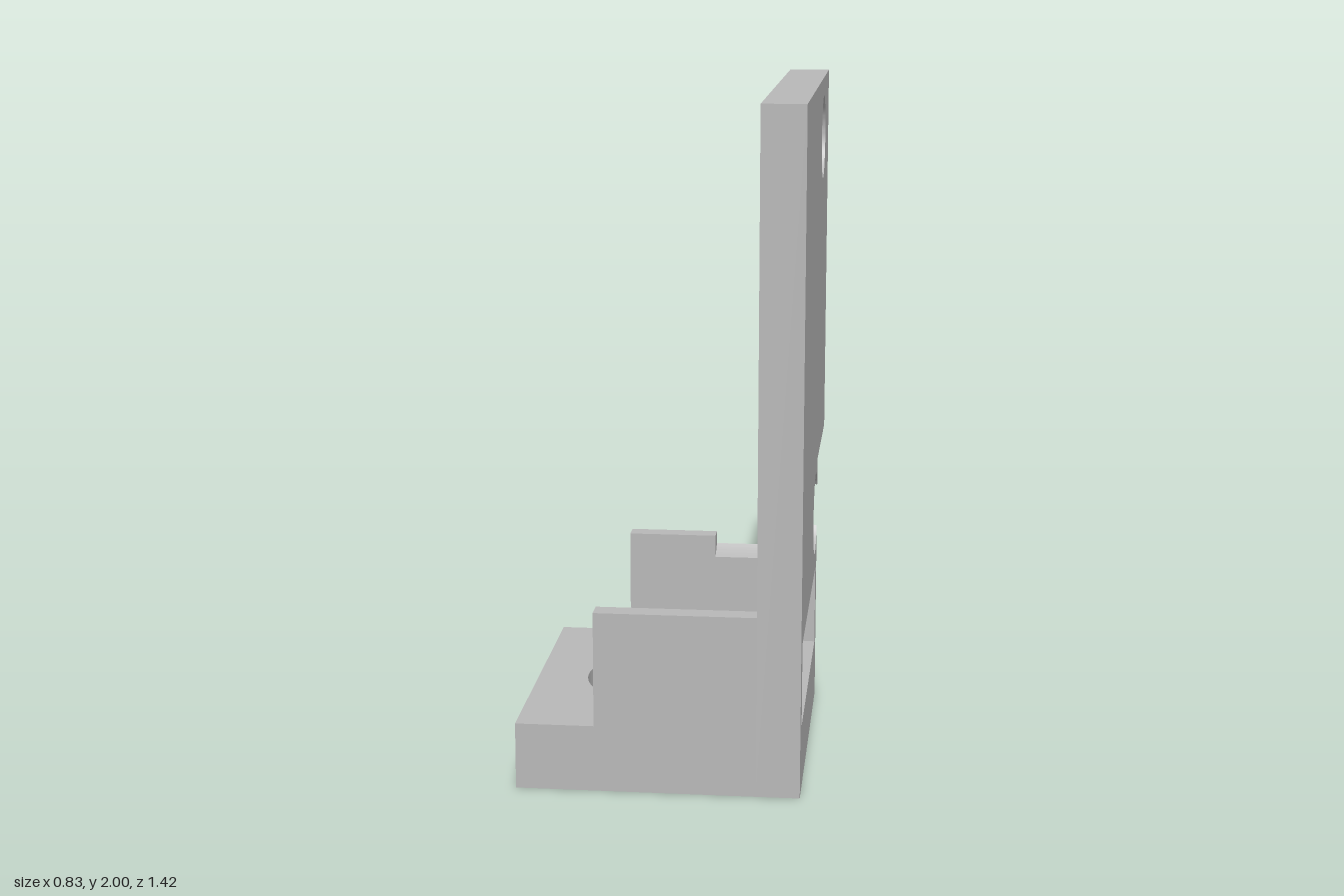
import * as THREE from 'three';
import { toCreasedNormals } from 'three/addons/utils/BufferGeometryUtils.js';

const grey = new THREE.MeshStandardMaterial({ color: 0xb8b8b8 });
grey.name = 'grey';

// Main x positions, shared by the parts
const baseLeft = -0.418, wallStart = -0.187, plateInner = 0.286, plateOuter = 0.414;
const back = -0.211, front = 0.712;

function extrude(shape, depth) {
  return new THREE.ExtrudeGeometry(shape, { depth, bevelEnabled: false, curveSegments: 48 });
}

// Side profile drawn as (-z, y), extruded along x from x0 to x1
function sideProfile(shape, x0, x1) {
  return toCreasedNormals(extrude(shape, x1 - x0).rotateY(Math.PI / 2).translate(x0, 0, 0), 0.5);
}

function polygon(points) {
  return new THREE.Shape(points.map(([x, y]) => new THREE.Vector2(x, y)));
}

function circle(x, y, r) {
  return new THREE.Path().absarc(x, y, r, 0, Math.PI * 2, true);
}

function box(x0, x1, y0, y1, z0, z1) {
  return new THREE.BoxGeometry(x1 - x0, y1 - y0, z1 - z0)
    .translate((x0 + x1) / 2, (y0 + y1) / 2, (z0 + z1) / 2);
}

export function createModel() {
  const group = new THREE.Group();
  group.name = 'bracket';
  const add = (name, geometry) => {
    const mesh = new THREE.Mesh(geometry, grey);
    mesh.name = name;
    group.add(mesh);
  };

  // Centre of the edge hole, which breaks through the back edge
  const hu = 0.1, hy = 0.639, r = 0.13;
  const edge = -back;
  const open = Math.acos((edge - hu) / r);

  // Tall plate with a window, a round hole and the open edge hole
  const plate = new THREE.Shape();
  plate.moveTo(-front, 0);
  plate.lineTo(edge, 0);
  plate.lineTo(edge, hy - r * Math.sin(open));
  plate.absarc(hu, hy, r, -open, open, true);
  plate.lineTo(edge, 0.793);
  plate.lineTo(front, 0.793);
  plate.lineTo(front, 2);
  plate.lineTo(-front, 2);
  plate.closePath();
  plate.holes.push(
    circle(0.359, 1.811, r),
    polygon([[-0.647, 0.198], [-0.647, 0.448], [0.145, 0.448], [0.145, 0.198]])
  );
  add('uprightPlate', sideProfile(plate, plateInner, plateOuter));

  // Base slab with a large vertical bore
  const base = polygon([[baseLeft, -front], [plateInner, -front], [plateInner, edge], [baseLeft, edge]]);
  base.holes.push(circle(-0.016, -0.251, 0.251));
  add('base', toCreasedNormals(extrude(base, 0.198).rotateX(-Math.PI / 2), 0.5));

  // Side walls standing on the base
  const wallTop = 0.541, wallInner = 0.154, reliefStart = 0.09;
  add('frontWall', box(wallStart, plateInner, 0.198, wallTop, 0.649, front));
  add('backWall', box(wallStart, reliefStart, 0.198, wallTop, back, -wallInner));

  // Part of the back wall lowered by a wider bore around the edge hole
  const R = 0.177;
  const a0 = -Math.acos((edge - hu) / R), a1 = -Math.acos((wallInner - hu) / R);
  const relief = new THREE.Shape();
  relief.moveTo(wallInner, 0.198);
  relief.lineTo(edge, 0.198);
  relief.lineTo(edge, hy + R * Math.sin(a0));
  relief.absarc(hu, hy, R, a0, a1, true);
  relief.closePath();
  add('backWallRelief', sideProfile(relief, reliefStart, plateInner));

  return group;
}
